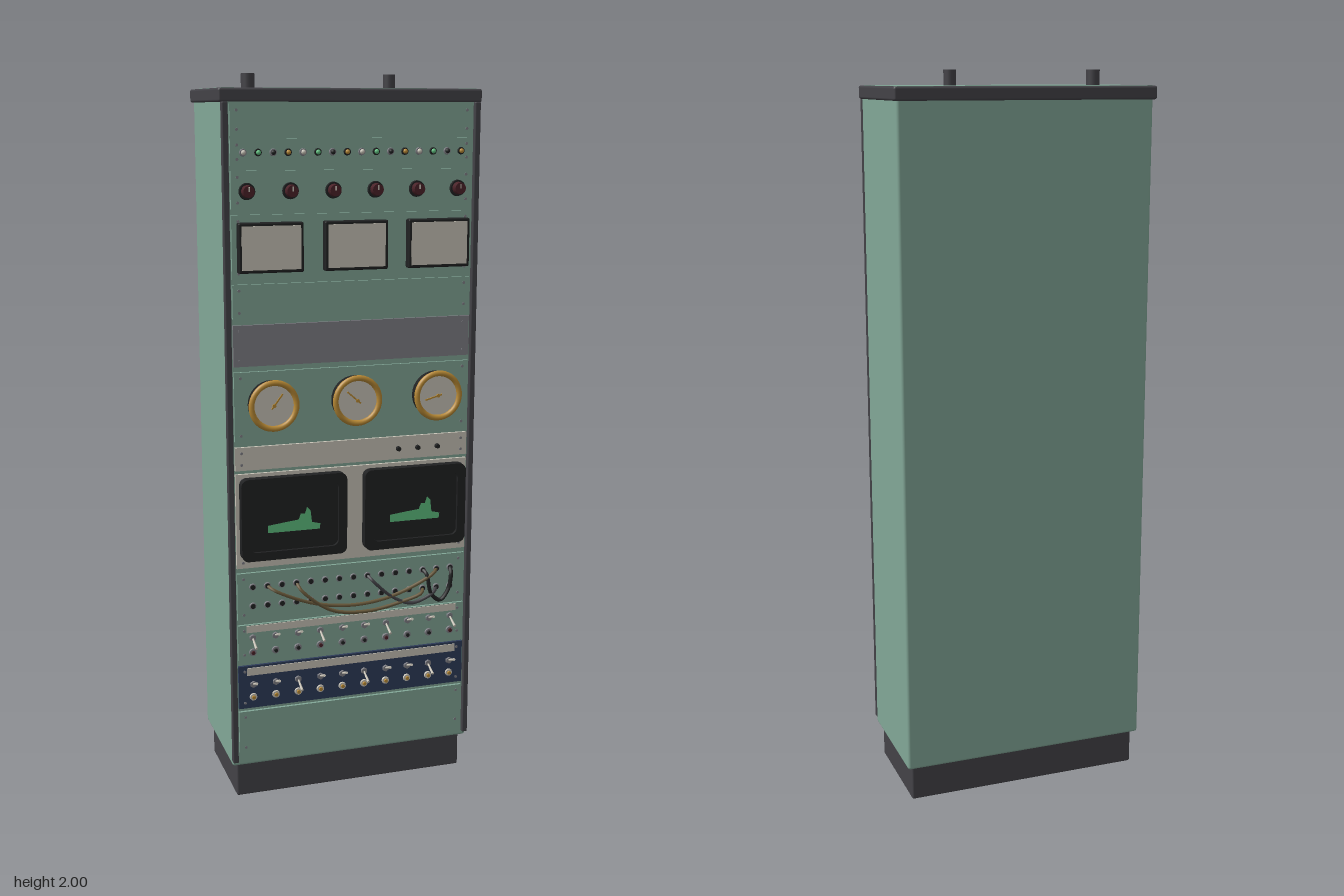
import * as THREE from 'three';
import { RoundedBoxGeometry } from 'three/addons/geometries/RoundedBoxGeometry.js';

const mat = (name, color, side = THREE.FrontSide) => {
  const m = new THREE.MeshStandardMaterial({ color, side });
  m.name = name;
  return m;
};

export function createModel() {
  const root = new THREE.Group();
  root.name = 'equipmentRack';
  const green = mat('cabinet green', 0x82a797), dark = mat('dark trim', 0x434247);
  const cream = mat('cream', 0xcac5b9), grey = mat('steel grey', 0x808086);
  const brass = mat('brass', 0xb98a35), black = mat('black', 0x202122);
  const navy = mat('navy', 0x2d3b59), maroon = mat('maroon', 0x4a2228);
  const trace = mat('trace green', 0x5fbf7f), brown = mat('cable brown', 0x6b5b3c);

  const add = (name, geo, m, x, y, z, parent = root) => {
    const mesh = new THREE.Mesh(geo, m);
    mesh.name = name;
    mesh.position.set(x, y, z);
    parent.add(mesh);
    return mesh;
  };
  const box = (name, w, h, d, m, x, y, z, parent) =>
    add(name, new THREE.BoxGeometry(w, h, d), m, x, y, z, parent);
  const rbox = (name, w, h, d, r, m, x, y, z, parent) =>
    add(name, new RoundedBoxGeometry(w, h, d, 2, r), m, x, y, z, parent);
  // round part facing forward, z is its back face
  const disc = (name, r0, r1, d, m, x, y, z, parent, seg = 16) =>
    add(name, new THREE.CylinderGeometry(r1, r0, d, seg).rotateX(Math.PI / 2), m, x, y, z + d / 2, parent);
  const group = (name) => {
    const g = new THREE.Group();
    g.name = name;
    root.add(g);
    return g;
  };
  const FACE = 0.152;

  // cabinet shell
  rbox('plinth', 0.675, 0.11, 0.302, 0.005, dark, 0, 0.055, -0.024);
  rbox('cabinet', 0.706, 1.845, 0.335, 0.008, green, 0, 1.0225, -0.0235);
  rbox('topCap', 0.722, 0.035, 0.348, 0.006, dark, 0, 1.9415, -0.026);
  box('topPlate', 0.698, 0.006, 0.324, green, 0, 1.957, -0.028);
  for (const s of [-1, 1]) rbox('frontRail', 0.016, 1.81, 0.02, 0.003, dark, s * 0.346, 1.02, 0.147);
  for (const [x, r] of [[-0.228, 0.0185], [0.175, 0.0165]])
    add('conduit', new THREE.CylinderGeometry(r, r, 0.05, 20), dark, x, 1.975, -0.075);

  // rack panels: name, bottom, top, colour
  const panels = [
    ['topBlank', 1.84, 1.92, green], ['lampPanel', 1.765, 1.833, green], ['knobPanel', 1.655, 1.752, green],
    ['squareMeterPanel', 1.473, 1.64, green], ['upperBlank', 1.37, 1.46, green], ['ventPanel', 1.243, 1.353, grey],
    ['gaugePanel', 1.04, 1.228, green], ['controlStrip', 0.96, 1.024, cream], ['scopePanel', 0.685, 0.95, cream],
    ['patchPanel', 0.535, 0.67, green], ['switchPanel', 0.418, 0.52, green], ['navyPanel', 0.275, 0.4, navy],
    ['bottomBlank', 0.142, 0.265, green],
  ];
  for (const [name, y0, y1, m] of panels) {
    const g = group(name);
    box('panelPlate', 0.667, y1 - y0, FACE - 0.14, m, 0, (y0 + y1) / 2, (FACE + 0.14) / 2, g);
    for (const x of [-0.316, 0.316]) for (const y of [y0 + 0.016, y1 - 0.016])
      disc('screw', 0.004, 0.004, 0.002, grey, x, y, FACE, g, 8);
  }

  // indicator lamps
  const lamps = group('indicatorLamps');
  const lampColours = [cream, brass, black, trace];
  for (let i = 0; i < 16; i++) {
    const x = -0.3 + i * 0.04;
    disc('lampRing', 0.01, 0.009, 0.005, i % 2 ? black : grey, x, 1.798, FACE, lamps, 12);
    add('lampLens', new THREE.SphereGeometry(0.0065, 10, 8), lampColours[(i * 3) % 4], x, 1.798, FACE + 0.006, lamps);
  }

  // control knobs
  const knobs = group('controlKnobs');
  for (let i = 0; i < 6; i++) {
    const x = (i - 2.5) * 0.1165;
    disc('knobSkirt', 0.022, 0.021, 0.008, black, x, 1.7, FACE, knobs, 20);
    disc('knobCap', 0.017, 0.015, 0.02, maroon, x, 1.7, FACE + 0.006, knobs, 20);
    box('knobPointer', 0.003, 0.012, 0.002, cream, x, 1.706, FACE + 0.027, knobs);
  }

  // square meters
  const meters = group('squareMeters');
  for (const x of [-0.233, 0, 0.233]) {
    rbox('meterCase', 0.175, 0.13, 0.026, 0.004, black, x, 1.556, FACE + 0.012, meters);
    box('meterFace', 0.159, 0.114, 0.004, cream, x, 1.556, FACE + 0.0245, meters);
  }

  // round gauges
  const gauges = group('roundGauges');
  [[-0.233, -0.65], [0, 0.85], [0.233, 1.85]].forEach(([x, a]) => {
    disc('gaugeCase', 0.064, 0.064, 0.03, black, x, 1.14, FACE, gauges, 32);
    disc('gaugeFace', 0.056, 0.056, 0.003, cream, x, 1.14, FACE + 0.03, gauges, 32);
    add('gaugeRing', new THREE.TorusGeometry(0.062, 0.008, 10, 40), brass, x, 1.14, 0.186, gauges);
    const needle = add('gaugeNeedle', new THREE.BoxGeometry(0.004, 0.05, 0.003).translate(0, 0.014, 0), brass, x, 1.14, 0.187, gauges);
    needle.rotation.z = a;
    disc('needleHub', 0.005, 0.005, 0.005, brass, x, 1.14, 0.185, gauges, 12);
  });

  // buttons on the cream strip
  for (const x of [0.13, 0.187, 0.245]) disc('stripButton', 0.007, 0.006, 0.01, black, x, 0.99, FACE, root, 12);

  // oscilloscope screens with glowing trace
  const scopes = group('scopes');
  const traceShape = new THREE.Shape([
    [-0.074, -0.035], [0.072, -0.035], [0.074, -0.02], [0.05, -0.014], [0.046, 0.02], [0.036, 0.03],
    [0.03, 0.012], [0.018, 0.012], [0.012, -0.004], [-0.025, -0.008], [-0.074, -0.014],
  ].map(([x, y]) => new THREE.Vector2(x, y)));
  const roundRect = (P, w, h, r) => {
    const p = new P();
    p.absarc(w / 2 - r, h / 2 - r, r, 0, Math.PI / 2);
    p.absarc(r - w / 2, h / 2 - r, r, Math.PI / 2, Math.PI);
    p.absarc(r - w / 2, r - h / 2, r, Math.PI, Math.PI * 1.5);
    p.absarc(w / 2 - r, r - h / 2, r, Math.PI * 1.5, Math.PI * 2);
    p.closePath();
    return p;
  };
  const bezel = roundRect(THREE.Shape, 0.298, 0.23, 0.02);
  bezel.holes.push(roundRect(THREE.Path, 0.25, 0.182, 0.018));
  for (const x of [-0.175, 0.175]) {
    add('scopeBezel', new THREE.ExtrudeGeometry(bezel, { depth: 0.025, bevelEnabled: false, curveSegments: 6 }), black, x, 0.825, FACE, scopes);
    box('scopeScreen', 0.256, 0.188, 0.016, black, x, 0.825, FACE + 0.008, scopes);
    add('scopeTrace', new THREE.ShapeGeometry(traceShape), trace, x, 0.82, FACE + 0.0175, scopes);
  }

  // patch jacks and cables
  const patch = group('patchBay');
  for (const y of [0.63, 0.575]) for (let i = 0; i < 15; i++) {
    const x = (i - 7) * 0.0415;
    disc('jackRing', 0.01, 0.009, 0.004, grey, x, y, FACE, patch, 12);
    disc('jackHole', 0.007, 0.007, 0.002, black, x, y, FACE + 0.0035, patch, 10);
  }
  const cable = (pts, m, r) => {
    const path = pts.map(([x, y], i) => new THREE.Vector3(x, y, i === 0 || i === pts.length - 1 ? FACE : 0.169));
    add('patchCable', new THREE.TubeGeometry(new THREE.CatmullRomCurve3(path), 32, r, 6), m, 0, 0, 0, patch);
  };
  cable([[-0.249, 0.63], [-0.235, 0.62], [-0.12, 0.57], [0, 0.553], [0.12, 0.57], [0.235, 0.622], [0.249, 0.63]], brown, 0.005);
  cable([[-0.166, 0.63], [-0.155, 0.61], [-0.07, 0.545], [0.03, 0.53], [0.13, 0.545], [0.2, 0.567], [0.208, 0.575]], brown, 0.005);
  cable([[0.0415, 0.63], [0.05, 0.62], [0.11, 0.565], [0.17, 0.54], [0.235, 0.565], [0.249, 0.575]], dark, 0.005);
  cable([[0.208, 0.63], [0.214, 0.62], [0.228, 0.562], [0.255, 0.54], [0.28, 0.57], [0.288, 0.62], [0.2905, 0.63]], black, 0.006);

  // toggle switch rows on the two lower panels
  [['switchPanelControls', 0.508, 0.02, 0.483, 0.44, green], ['navyPanelControls', 0.383, 0.022, 0.345, 0.308, navy]]
    .forEach(([name, stripY, stripH, upperY, lowerY], row) => {
      const g = group(name);
      box('labelStrip', 0.62, stripH, 0.003, cream, 0, stripY, FACE + 0.001, g);
      for (let i = 0; i < 10; i++) {
        const x = (i - 4.5) * 0.065;
        disc('toggleNut', 0.01, 0.009, 0.006, grey, x, upperY, FACE, g, 6);
        const lever = add('toggleLever', new THREE.CylinderGeometry(0.004, 0.0025, 0.044, 8).rotateX(Math.PI / 2).translate(0, 0, 0.024), cream, x, upperY, FACE, g);
        lever.rotation.x = (i * 7 + row) % 3 ? -0.4 : 0.4;
        disc('socketRing', 0.011, 0.01, 0.005, row ? cream : grey, x, lowerY, FACE, g, 12);
        disc('socketCentre', 0.006, 0.005, 0.01, row ? brass : (i % 3 ? black : maroon), x, lowerY, FACE, g, 10);
      }
    });

  return root;
}
